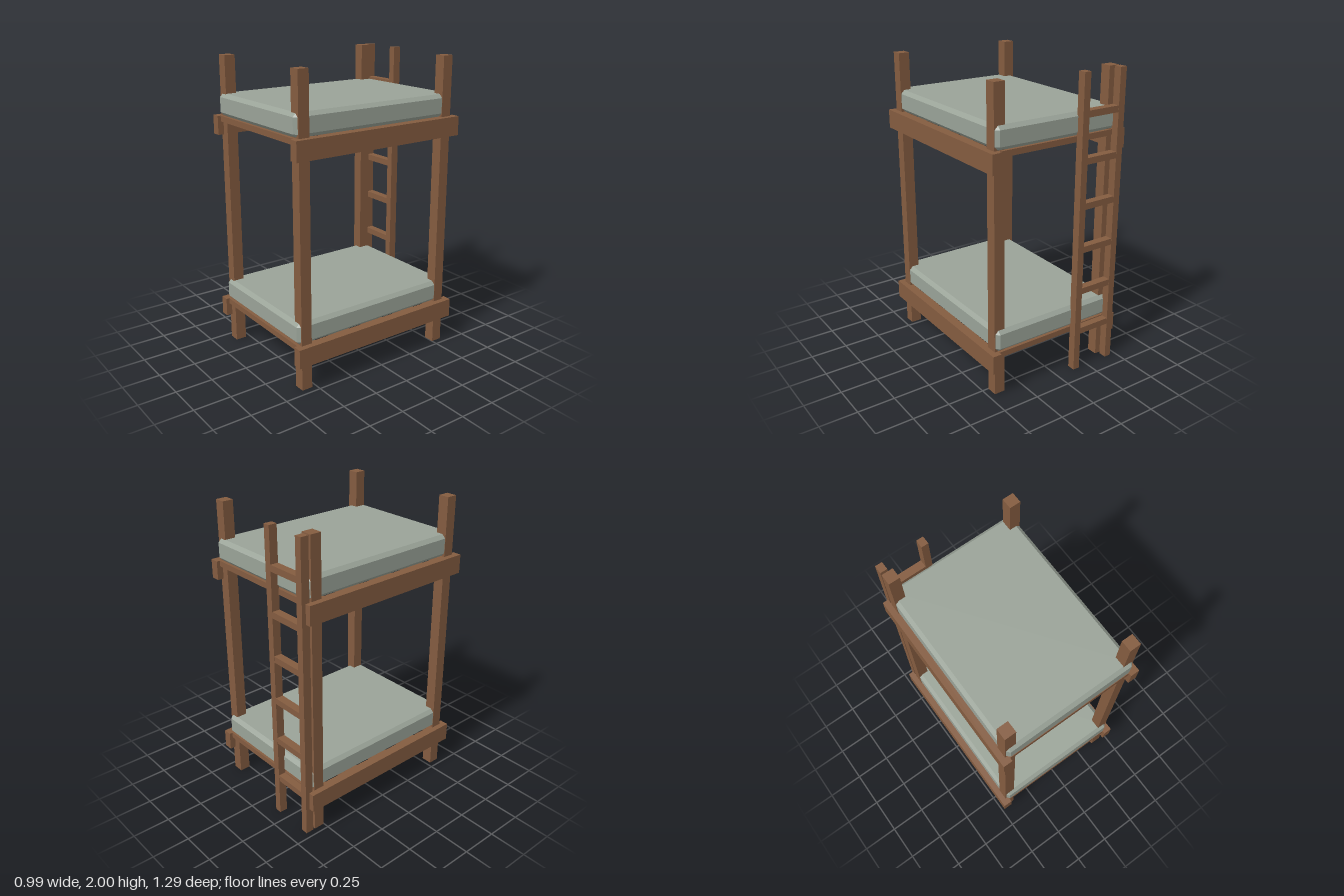
import * as THREE from 'three';
import { ConvexGeometry } from 'three/addons/geometries/ConvexGeometry.js';

export function createModel() {
  const model = new THREE.Group();
  model.name = 'bunkBed';
  const wood = new THREE.MeshStandardMaterial({ color: 0x845c40 });
  wood.name = 'brownWood';
  const fabric = new THREE.MeshStandardMaterial({ color: 0x9aa398 });
  fabric.name = 'greyGreenFabric';

  // Wooden bar given by its extents on each axis
  function bar(name, parent, [x0, x1], [y0, y1], [z0, z1]) {
    const mesh = new THREE.Mesh(new THREE.BoxGeometry(x1 - x0, y1 - y0, z1 - z0), wood);
    mesh.position.set((x0 + x1) / 2, (y0 + y1) / 2, (z0 + z1) / 2);
    mesh.name = name;
    parent.add(mesh);
  }

  // Box with every edge chamfered: three inset rectangles per corner
  function chamferedBox(w, h, d, c) {
    const points = [];
    for (const sx of [-1, 1]) for (const sy of [-1, 1]) for (const sz of [-1, 1]) {
      for (let axis = 0; axis < 3; axis++) {
        const inset = [c, c, c];
        inset[axis] = 0;
        points.push(new THREE.Vector3(
          sx * (w / 2 - inset[0]), sy * (h / 2 - inset[1]), sz * (d / 2 - inset[2])));
      }
    }
    return new ConvexGeometry(points);
  }

  // Corner posts
  for (const x of [[-0.459, -0.385], [0.381, 0.455]]) {
    for (const z of [[-0.576, -0.502], [0.53, 0.604]]) bar('post', model, x, [0, 2], z);
  }

  // Two identical bunks: side rails, slats and mattress
  for (const [name, y] of [['lowerBunk', 0.308], ['upperBunk', 1.608]]) {
    const bunk = new THREE.Group();
    bunk.name = name;
    bunk.position.y = y;
    model.add(bunk);
    for (const x of [[-0.497, -0.436], [0.432, 0.493]]) {
      bar('sideRail', bunk, x, [-0.126, 0], [-0.618, 0.645]);
    }
    for (let i = 0; i < 5; i++) {
      const z = -0.53 + i * 0.272;
      bar('slat', bunk, [-0.44, 0.436], [-0.038, 0], [z - 0.065, z + 0.065]);
    }
    const mattress = new THREE.Mesh(chamferedBox(0.908, 0.147, 1.222, 0.024), fabric);
    mattress.name = 'mattress';
    mattress.position.set(-0.002, 0.0735, 0.013);
    bunk.add(mattress);
  }

  // Ladder behind the bed
  const ladder = new THREE.Group();
  ladder.name = 'ladder';
  model.add(ladder);
  for (const x of [[-0.459, -0.412], [-0.18, -0.133]]) {
    bar('ladderRail', ladder, x, [0, 2], [-0.645, -0.59]);
  }
  for (let i = 0; i < 6; i++) {
    const y = 0.26 + i * 0.293;
    bar('rung', ladder, [-0.412, -0.18], [y, y + 0.042], [-0.644, -0.591]);
  }
  return model;
}
